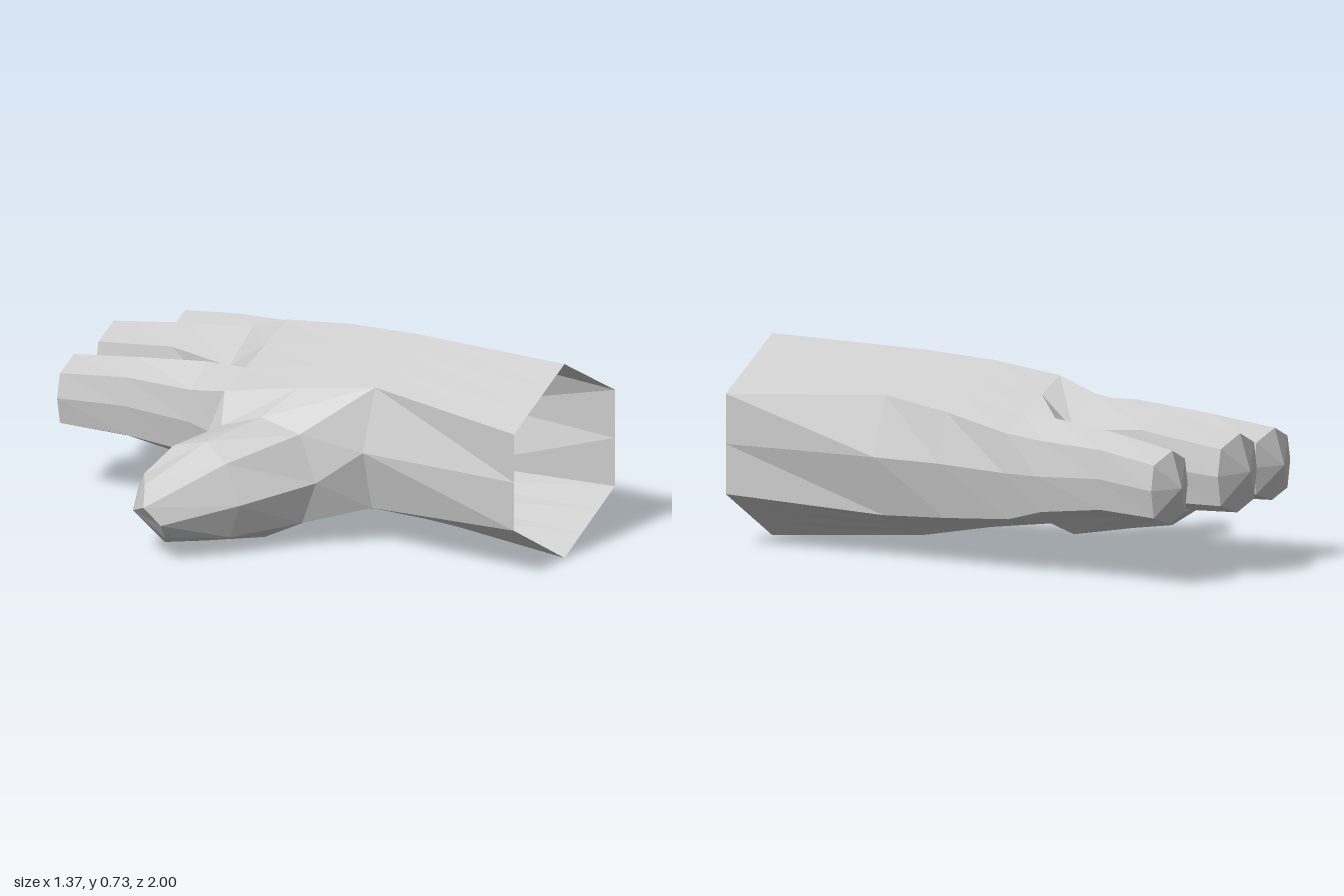
import * as THREE from 'three';

const material = new THREE.MeshStandardMaterial({
  color: 0xcccccc, flatShading: true, side: THREE.DoubleSide,
});

// Collects the triangles of one part
class Skin {
  constructor() { this.points = []; }
  quad(a, b, c, d) { this.points.push(a, b, c, a, c, d); }
  // Joins two closed loops of equal length, leaving out the columns in skip
  bridge(p, q, skip = []) {
    p.forEach((_, i) => {
      const j = (i + 1) % p.length;
      if (!skip.includes(i)) this.quad(p[i], p[j], q[j], q[i]);
    });
  }
  // Closes a loop with a blunt point
  cap(p, apex) {
    p.forEach((a, i) => this.points.push(a, p[(i + 1) % p.length], apex));
  }
  mesh(name) {
    const geometry = new THREE.BufferGeometry().setFromPoints(this.points);
    geometry.computeVertexNormals();
    const mesh = new THREE.Mesh(geometry, material);
    mesh.name = name;
    return mesh;
  }
}

const v = (x, y, z) => new THREE.Vector3(x, y, z);

// Sixteen-point arm section from eight key points:
// upper left, top, upper right, right, lower right, bottom, lower left, left
function section(z, keys) {
  const k = keys.map(([x, y]) => v(x, y, z));
  const ring = [];
  k.forEach((p, i) => {
    const steps = [0, 1, 4, 5].includes(i) ? 3 : 1;
    for (let s = 0; s < steps; s++) ring.push(p.clone().lerp(k[(i + 1) % 8], s / steps));
  });
  return ring;
}

// Eight-sided finger section, in the order of the knuckle openings
function fingerRing([cx, halfWidth, bottom, top, z]) {
  const cy = (top + bottom) / 2, h = (top - bottom) / 2;
  return [[-0.85, 0.68], [0, 1], [0.85, 0.68], [1, 0], [0.85, -0.75], [0, -1], [-0.85, -0.75], [-1, 0]]
    .map(([x, y]) => v(cx + x * halfWidth, cy + y * h, z + (y === 1 ? -0.012 : 0)));
}

function finger(name, base, rings, apex) {
  const skin = new Skin();
  const loops = [base, ...rings];
  for (let i = 1; i < loops.length; i++) skin.bridge(loops[i - 1], loops[i]);
  skin.cap(loops[loops.length - 1], apex);
  return skin.mesh(name);
}

export function createModel() {
  const group = new THREE.Group();
  group.name = 'hand';

  // Sections from the open wrist to the palm
  const wrist = section(1, [[-0.06, 0.545], [0.25, 0.725], [0.56, 0.545], [0.56, 0.365],
    [0.56, 0.185], [0.25, 0], [-0.06, 0.185], [-0.06, 0.365]]);
  const heel = section(0.36, [[-0.01, 0.585], [0.25, 0.715], [0.515, 0.585], [0.59, 0.37],
    [0.53, 0.155], [0.25, 0.05], [-0.03, 0.14], [-0.085, 0.36]]);
  const middle = section(0.08, [[-0.08, 0.55], [0.245, 0.70], [0.555, 0.55], [0.605, 0.37],
    [0.56, 0.17], [0.25, 0.10], [-0.05, 0.10], [-0.14, 0.35]]);
  const front = section(-0.2, [[-0.145, 0.5], [0.24, 0.665], [0.6, 0.5], [0.62, 0.36],
    [0.585, 0.19], [0.24, 0.135], [-0.13, 0.17], [-0.16, 0.33]]);

  // Knuckle outline, with a web between each pair of fingers
  const knuckles = [[-0.14, 0.475], [-0.04, 0.555], [0.095, 0.5], [0.24, 0.61], [0.39, 0.5],
    [0.51, 0.555], [0.605, 0.485], [0.63, 0.36], [0.605, 0.23], [0.5, 0.175], [0.39, 0.22],
    [0.24, 0.165], [0.095, 0.22], [-0.04, 0.18], [-0.135, 0.24], [-0.155, 0.36]]
    .map(([x, y]) => v(x, y, -0.35));
  const webs = [v(0.095, 0.36, -0.36), v(0.39, 0.36, -0.36)];

  // Arm and palm shell, left open at the wrist, the thumb and the fingers
  const palm = new Skin();
  palm.bridge(wrist, heel);
  palm.bridge(heel, middle, [14, 15]);
  palm.bridge(middle, front, [14, 15]);
  palm.bridge(front, knuckles);
  group.add(palm.mesh('palm'));

  // Fingers: [centre x, half width, bottom, top, z] for each section
  const k = (...ids) => ids.map((i) => knuckles[i]);
  const fingers = [
    ['indexFinger', [...k(0, 1, 2), webs[0], ...k(12, 13, 14, 15)],
      [[-0.067, 0.112, 0.225, 0.525, -0.62], [-0.085, 0.122, 0.23, 0.49, -0.885]], v(-0.08, 0.36, -0.94)],
    ['middleFinger', [...k(2, 3, 4), webs[1], ...k(10, 11, 12), webs[0]],
      [[0.242, 0.138, 0.22, 0.57, -0.62], [0.242, 0.13, 0.23, 0.515, -0.945]], v(0.242, 0.38, -1)],
    ['littleFinger', [...k(4, 5, 6, 7, 8, 9, 10), webs[1]],
      [[0.538, 0.118, 0.225, 0.525, -0.62], [0.56, 0.122, 0.22, 0.485, -0.86]], v(0.573, 0.355, -0.92)],
  ];
  for (const [name, base, rings, apex] of fingers) {
    group.add(finger(name, base, rings.map(fingerRing), apex));
  }

  // Thumb, growing out of the opening in the side of the palm
  const thumbBase = [heel[0], middle[0], front[0], front[15], front[14], middle[14], heel[14], heel[15]];
  const thumbRings = [
    [[-0.19, 0.42, 0.16], [-0.2, 0.455, 0], [-0.22, 0.4, -0.16], [-0.24, 0.27, -0.25],
      [-0.22, 0.12, -0.22], [-0.22, 0.02, 0.03], [-0.19, 0.09, 0.17], [-0.19, 0.25, 0.23]],
    [[-0.42, 0.34, 0], [-0.41, 0.405, -0.09], [-0.43, 0.37, -0.22], [-0.42, 0.25, -0.3],
      [-0.41, 0.1, -0.27], [-0.4, 0.03, -0.1], [-0.42, 0.07, 0.02], [-0.43, 0.2, 0.07]],
    [[-0.685, 0.215, -0.17], [-0.62, 0.275, -0.21], [-0.54, 0.285, -0.27], [-0.49, 0.21, -0.33],
      [-0.5, 0.1, -0.31], [-0.51, 0.035, -0.2], [-0.61, 0.09, -0.13], [-0.655, 0.15, -0.115]],
  ].map((ring) => ring.map((p) => v(...p)));
  group.add(finger('thumb', thumbBase, thumbRings, v(-0.615, 0.17, -0.265)));

  return group;
}
